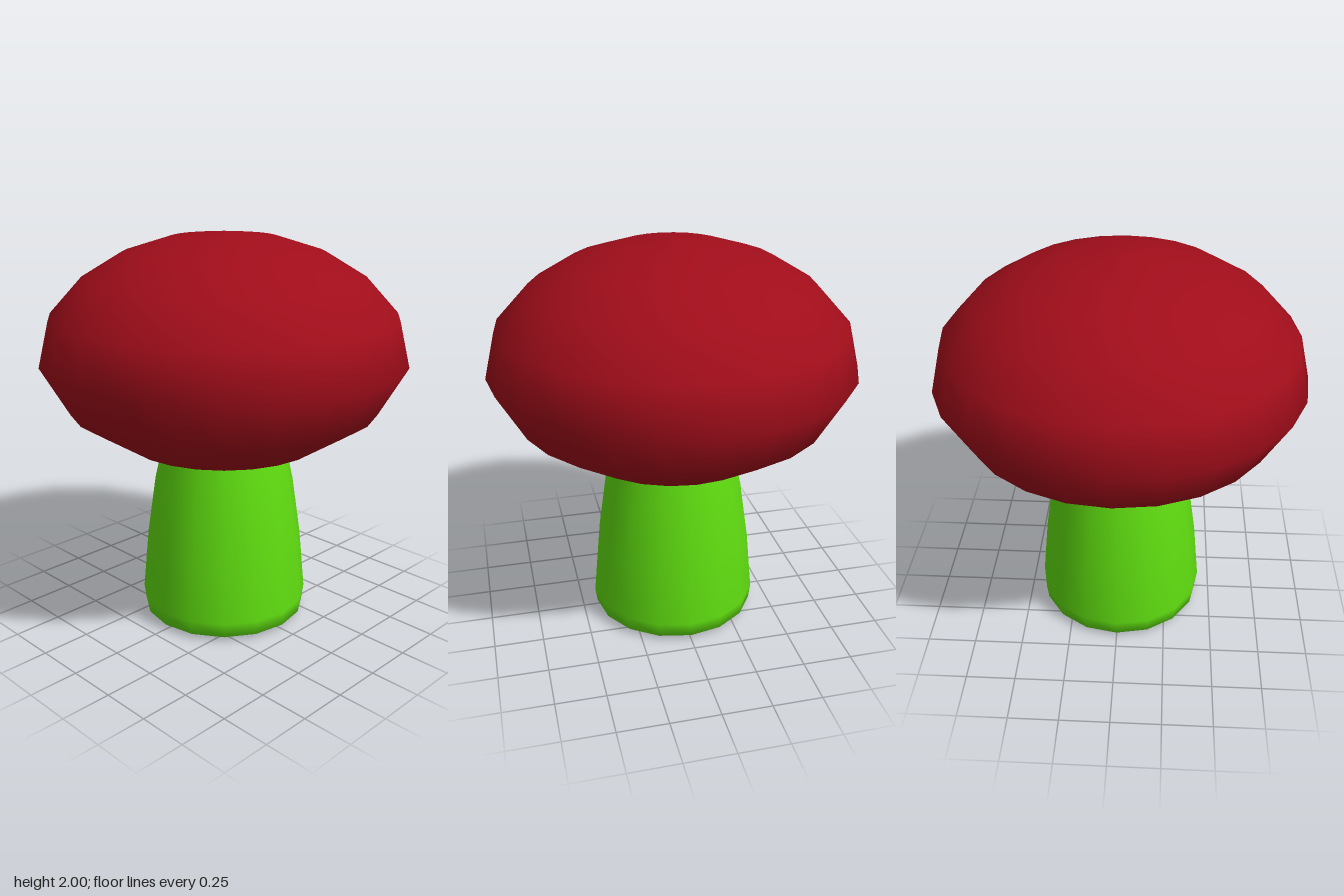
import * as THREE from 'three';

const points = (list) => list.map(([r, y]) => new THREE.Vector2(r, y));

// Turned part from a profile of [radius, height] pairs, outside running upward
function turned(name, profile, sides, color) {
  const mesh = new THREE.Mesh(
    new THREE.LatheGeometry(points(profile), sides),
    new THREE.MeshStandardMaterial({ color })
  );
  mesh.name = name;
  return mesh;
}

export function createModel() {
  const red = 0xa00d1a;
  const green = 0x5fdc10;
  const model = new THREE.Group();
  model.name = 'mushroom';

  // Cap: rounded outer dome tucking in underneath
  const cap = new THREE.Group();
  cap.name = 'cap';
  cap.add(turned('capOuter', [
    [0.5, 0.95], [0.78, 1.13], [0.92, 1.375], [0.865, 1.6],
    [0.7, 1.78], [0.5, 1.9], [0.26, 1.975], [0, 2],
  ], 24, red));

  // Hollow inside of the cap, ending in a narrow rim
  cap.add(turned('capInner', [
    [0, 1.94], [0.25, 1.915], [0.47, 1.845], [0.66, 1.735],
    [0.81, 1.57], [0.86, 1.385], [0.73, 1.17], [0.45, 0.98], [0.5, 0.95],
  ], 24, red));
  model.add(cap);

  // Stem: tapered, with a softly rounded foot and a top hidden in the cap
  model.add(turned('stem', [
    [0, 0.005], [0.37, 0], [0.425, 0.025], [0.435, 0.1], [0.405, 0.42],
    [0.36, 0.73], [0.31, 0.95], [0.26, 1.15], [0.22, 1.28], [0, 1.3],
  ], 16, green));

  return model;
}
